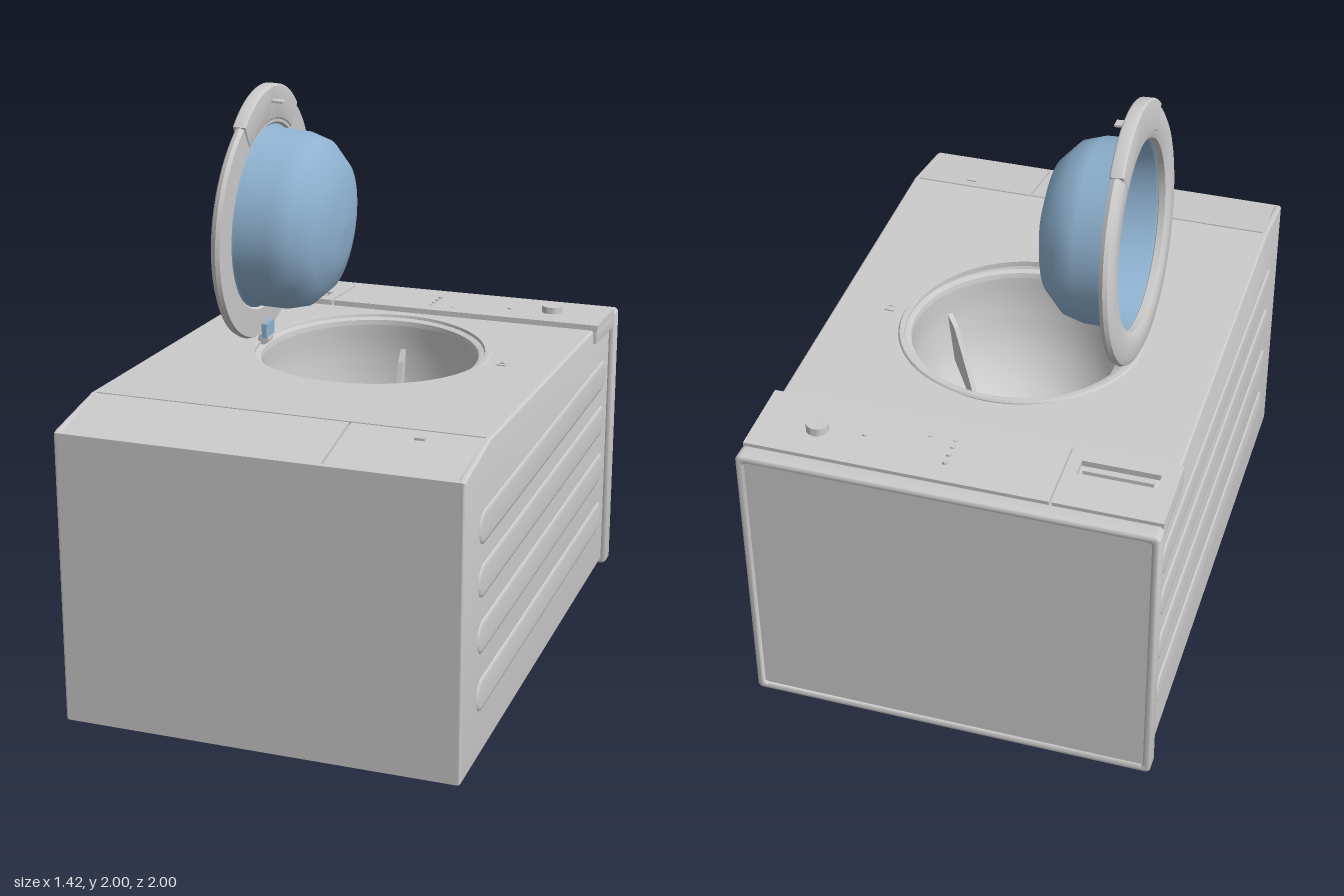
import * as THREE from 'three';
import { toCreasedNormals } from 'three/addons/utils/BufferGeometryUtils.js';

const grey = new THREE.MeshStandardMaterial({ color: 0xcccccc });
const greyThin = new THREE.MeshStandardMaterial({ color: 0xcccccc, side: THREE.DoubleSide });
const blue = new THREE.MeshStandardMaterial({ color: 0x8fb2d0, side: THREE.DoubleSide });

const v2 = (pts) => pts.map(([a, b]) => new THREE.Vector2(a, b));

function add(parent, name, geometry, material = grey, pos = [0, 0, 0]) {
  const mesh = new THREE.Mesh(geometry, material);
  mesh.name = name;
  mesh.position.set(...pos);
  parent.add(mesh);
  return mesh;
}

const box = (parent, name, size, pos, material) =>
  add(parent, name, new THREE.BoxGeometry(...size), material, pos);

// Outline in (z, y), extruded across x from x0 to x1 with a softened edge
function across(parent, name, shape, x0, x1, bevel, spread = bevel) {
  const geo = new THREE.ExtrudeGeometry(shape, {
    depth: x1 - x0 - 2 * bevel, bevelThickness: bevel, bevelSize: spread,
    bevelOffset: -spread, bevelSegments: 3, curveSegments: 16,
  });
  geo.rotateY(-Math.PI / 2);
  return add(parent, name, toCreasedNormals(geo, 0.6), grey, [x1 - bevel, 0, 0]);
}

// Sloping slab whose upper surface runs from a = [z, y] back to b = [z, y];
// holes are drawn in (x, distance from a)
function slab(parent, name, x0, x1, a, b, thickness, holes = []) {
  const dz = b[0] - a[0], dy = b[1] - a[1], length = Math.hypot(dz, dy);
  const shape = new THREE.Shape(v2([[x0, 0], [x1, 0], [x1, length], [x0, length]]));
  shape.holes.push(...holes);
  const geo = new THREE.ExtrudeGeometry(shape, { depth: thickness, bevelEnabled: false, curveSegments: 48 });
  geo.translate(0, 0, -thickness);
  geo.rotateX(Math.atan2(dz, dy));
  return add(parent, name, geo, grey, [0, a[1], a[0]]);
}

function roundedRect(w, h, r, Type = THREE.Shape) {
  const s = new Type();
  const x = w / 2 - r, y = h / 2 - r;
  s.absarc(x, y, r, 0, Math.PI / 2);
  s.absarc(-x, y, r, Math.PI / 2, Math.PI);
  s.absarc(-x, -y, r, Math.PI, Math.PI * 1.5);
  s.absarc(x, -y, r, Math.PI * 1.5, Math.PI * 2);
  s.closePath();
  return s;
}

function buildCabinet(root) {
  const cabinet = new THREE.Group();
  cabinet.name = 'cabinet';
  root.add(cabinet);

  // Side walls with four long embossed ribs each
  const profile = new THREE.Shape(v2([[-0.94, 0.02], [1, 0.02], [1, 1.04], [0.98, 1.048],
    [0.72, 1.09], [-0.66, 1.045], [-0.94, 1.035]]));
  for (const side of [-1, 1]) {
    const [x0, x1] = side > 0 ? [0.665, 0.69] : [-0.69, -0.665];
    across(cabinet, 'sideWall', profile, x0, x1, 0.01);
    for (const y of [0.24, 0.443, 0.638, 0.82]) {
      const rib = across(cabinet, 'sideRib', roundedRect(1.72, 0.116, 0.0575),
        side * 0.688 - 0.008, side * 0.688 + 0.008, 0.007, 0.022);
      rib.position.y = y;
      rib.position.z = -0.02;
    }
  }
  box(cabinet, 'basePlate', [1.35, 1.02, 0.02], [0, 0.53, 0.99]);
  box(cabinet, 'rearPanel', [1.35, 0.02, 1.93], [0, 0.03, 0.03]);

  // Plinth: two covers with a gap between them
  const a = [1, 1.04], b = [0.723, 1.09];
  slab(cabinet, 'plinthBacking', -0.67, 0.67, [1, 1.028], [0.7, 1.078], 0.01);
  slab(cabinet, 'plinthCover', -0.676, 0.221, a, b, 0.015);
  slab(cabinet, 'filterFlap', 0.229, 0.676, a, b, 0.015);
  box(cabinet, 'flapLatch', [0.035, 0.012, 0.02], [0.475, 1.081, 0.775]);

  // Face panel with the round loading opening
  const opening = new THREE.Path();
  opening.absarc(0.01, 0.805, 0.408, 0, Math.PI * 2, true);
  slab(cabinet, 'facePanel', -0.676, 0.676, [0.715, 1.09], [-0.66, 1.045], 0.02, [opening]);
  const latch = new THREE.Shape(v2([[-0.018, -0.018], [0.018, -0.018], [0.018, 0.018], [-0.018, 0.018]]));
  latch.holes.push(new THREE.Path(v2([[-0.009, -0.009], [-0.009, 0.009], [0.009, 0.009], [0.009, -0.009]])));
  const latchGeo = new THREE.ExtrudeGeometry(latch, { depth: 0.012, bevelEnabled: false });
  latchGeo.rotateX(-Math.PI / 2);
  add(cabinet, 'doorCatch', latchGeo, grey, [0.497, 1.056, -0.095]);
}

function buildDrum(root) {
  const drum = new THREE.Group();
  drum.name = 'drum';
  drum.position.set(0.01, 1.064, -0.09);
  drum.rotation.x = 0.0327;
  root.add(drum);

  const rim = new THREE.LatheGeometry(v2([[0.385, -0.03], [0.388, -0.012], [0.408, -0.006],
    [0.411, 0.004], [0.428, 0.004], [0.433, -0.003]]), 72);
  add(drum, 'openingRim', toCreasedNormals(rim, 0.6), greyThin);
  const wall = new THREE.SplineCurve(v2([[0, -0.5], [0.15, -0.485], [0.27, -0.42], [0.35, -0.3],
    [0.383, -0.15], [0.385, -0.03]]));
  add(drum, 'drumBowl', new THREE.LatheGeometry(wall.getPoints(24), 64), greyThin);
  // Lifting paddles
  for (let i = 0; i < 3; i++) {
    const arm = new THREE.Group();
    arm.name = 'paddleArm';
    arm.rotation.y = i * Math.PI * 2 / 3;
    drum.add(arm);
    const fin = new THREE.Shape(v2([[0.384, -0.12], [0.35, -0.16], [0.28, -0.33], [0.24, -0.43], [0.28, -0.41], [0.35, -0.3]]));
    const geo = new THREE.ExtrudeGeometry(fin, { depth: 0.02, bevelEnabled: false });
    geo.translate(0, 0, -0.01);
    geo.rotateY(Math.PI / 2);
    add(arm, 'paddle', geo, greyThin);
  }
}

function buildControls(root) {
  const panel = new THREE.Group();
  panel.name = 'controlPanel';
  root.add(panel);
  across(panel, 'panelBase', new THREE.Shape(v2([[-0.935, 0.98], [-0.658, 0.995],
    [-0.658, 1.043], [-0.935, 1.03]])), -0.705, 0.705, 0.004);

  // Fascia and detergent drawer, with a recessed grip
  const a = [-0.658, 1.065], b = [-0.935, 1.052];
  slab(panel, 'fascia', -0.332, 0.705, a, b, 0.024);
  const grip = new THREE.Path(v2([[-0.645, 0.062], [-0.645, 0.125], [-0.38, 0.125], [-0.38, 0.062]]));
  slab(panel, 'detergentDrawer', -0.705, -0.342, a, b, 0.024, [grip]);
  box(panel, 'drawerGrip', [0.235, 0.014, 0.022], [-0.512, 1.05, -0.752]);

  const button = (name, r, h, x, y, z) => add(panel, name,
    toCreasedNormals(new THREE.CylinderGeometry(r * 0.96, r, h, 32), 0.6), grey, [x, y, z]);
  button('programDial', 0.039, 0.03, 0.495, 1.069, -0.805);
  for (const [x, z] of [[0.04, -0.85], [0.04, -0.81], [0.04, -0.77], [0.04, -0.735], [0.125, -0.735], [0.335, -0.79]])
    button('button', 0.01, 0.01, x, 1.059, z);
}

function buildWorktop(root) {
  // Lid: a rounded frame around a slightly sunken board
  const frame = roundedRect(1.42, 1.045, 0.02);
  frame.holes.push(roundedRect(1.365, 0.99, 0.012, THREE.Path));
  const geo = new THREE.ExtrudeGeometry(frame, {
    depth: 0.045, bevelThickness: 0.01, bevelSize: 0.01, bevelOffset: -0.01, bevelSegments: 3,
  });
  add(root, 'worktopFrame', toCreasedNormals(geo, 0.6), grey, [0, 0.5225, -0.99]);
  box(root, 'worktopBoard', [1.38, 1.005, 0.045], [0, 0.5225, -0.9675]);
}

function buildDoor(root) {
  // Door stands open, leaning slightly; its axis points along local y
  const door = new THREE.Group();
  door.name = 'door';
  door.position.set(-0.39, 1.53, -0.082);
  door.rotation.z = -Math.PI / 2 - 0.05;
  root.add(door);

  const ring = new THREE.LatheGeometry(v2([[0.325, -0.012], [0.345, -0.022], [0.415, -0.022],
    [0.436, -0.01], [0.441, 0.004], [0.434, 0.018], [0.335, 0.02], [0.325, 0.01], [0.325, -0.012]]), 80);
  add(door, 'doorRing', toCreasedNormals(ring, 0.6));

  const bowl = new THREE.LatheGeometry(v2([[0.335, 0.008], [0.318, 0.02], [0.315, 0.14], [0.295, 0.21],
    [0.23, 0.275], [0.12, 0.308], [0, 0.315]]), 64);
  add(door, 'doorGlass', bowl, blue);

  // Grip segment bulging beyond the top of the ring
  const grip = new THREE.Shape();
  grip.absarc(0, 0.12, 0.35, 0.775, Math.PI - 0.775);
  grip.absarc(0, 0, 0.345, Math.PI - 0.965, 0.965, true);
  grip.closePath();
  const gripGeo = new THREE.ExtrudeGeometry(grip, {
    depth: 0.034, bevelThickness: 0.007, bevelSize: 0.007, bevelOffset: -0.007, bevelSegments: 3, curveSegments: 32,
  });
  gripGeo.translate(0, 0, -0.017);
  gripGeo.rotateX(Math.PI / 2);
  gripGeo.rotateY(-Math.PI / 2);
  gripGeo.rotateZ(Math.PI);
  const gripMesh = add(door, 'doorGrip', toCreasedNormals(gripGeo, 0.6));
  // Keep the bulge on the upper side, which is local -x
  gripMesh.geometry.computeBoundingBox();
  if (gripMesh.geometry.boundingBox.max.x > 0) gripMesh.rotation.y = Math.PI;
  box(door, 'latchHook', [0.008, 0.05, 0.035], [-0.415, 0.042, 0]);

  // Hinge at the foot of the door
  box(root, 'hingePlate', [0.018, 0.052, 0.08], [-0.378, 1.11, -0.09], blue);
  const pin = new THREE.CylinderGeometry(0.02, 0.02, 0.05, 24);
  pin.rotateX(Math.PI / 2);
  add(root, 'hingePin', toCreasedNormals(pin, 0.6), grey, [-0.388, 1.075, -0.09]);
}

export function createModel() {
  const root = new THREE.Group();
  root.name = 'washingMachine';
  buildCabinet(root);
  buildDrum(root);
  buildControls(root);
  buildWorktop(root);
  buildDoor(root);
  return root;
}
